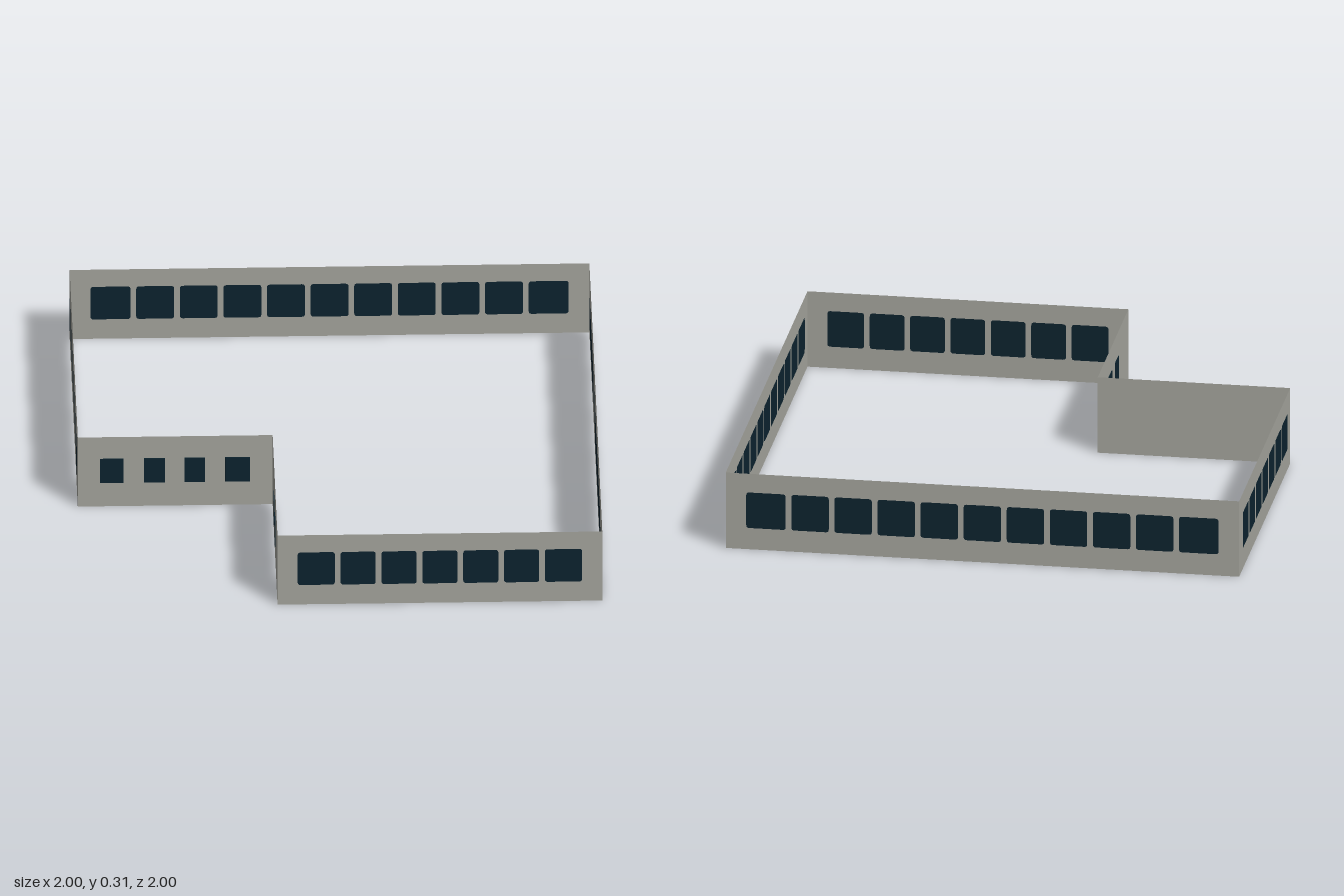
import * as THREE from 'three';

const HEIGHT = 0.31;

// Rounded rectangle centred on the origin
function roundedPane(w, h, r) {
  const s = new THREE.Shape();
  const x = w / 2, y = h / 2;
  s.moveTo(-x + r, -y);
  s.lineTo(x - r, -y);
  s.quadraticCurveTo(x, -y, x, -y + r);
  s.lineTo(x, y - r);
  s.quadraticCurveTo(x, y, x - r, y);
  s.lineTo(-x + r, y);
  s.quadraticCurveTo(-x, y, -x, y - r);
  s.lineTo(-x, -y + r);
  s.quadraticCurveTo(-x, -y, -x + r, -y);
  return new THREE.ShapeGeometry(s, 4);
}

export function createModel() {
  const concrete = new THREE.MeshStandardMaterial({ color: 0xa9a9a1, side: THREE.DoubleSide });
  concrete.name = 'concrete';
  const glass = new THREE.MeshStandardMaterial({ color: 0x0d2430, side: THREE.DoubleSide });
  glass.name = 'darkGlass';

  const model = new THREE.Group();
  model.name = 'storeyWalls';

  const add = (parent, geometry, material, name, x, y, z) => {
    const mesh = new THREE.Mesh(geometry, material);
    mesh.name = name;
    mesh.position.set(x, y, z);
    parent.add(mesh);
  };

  // Thin wall between two plan points; local +z points out of the building
  function makeWall(name, [x0, z0], [x1, z1]) {
    const wall = new THREE.Group();
    wall.name = name;
    wall.position.set((x0 + x1) / 2, 0, (z0 + z1) / 2);
    wall.rotation.y = Math.atan2(z0 - z1, x1 - x0);
    const length = Math.hypot(x1 - x0, z1 - z0);
    add(wall, new THREE.PlaneGeometry(length, HEIGHT), concrete, name + 'Panel', 0, HEIGHT / 2, 0);
    model.add(wall);
    return wall;
  }

  // Row of large windows seen from both sides, the end ones slightly wider
  function addWindowRow(wall, count, span) {
    const gap = 0.022, endExtra = 0.008;
    const width = (span - gap * (count - 1) - 2 * endExtra) / count;
    let x = -span / 2;
    for (let i = 0; i < count; i++) {
      const w = width + (i === 0 || i === count - 1 ? endExtra : 0);
      const pane = roundedPane(w, 0.146, 0.012);
      for (const z of [0.002, -0.002]) add(wall, pane, glass, 'window', x + w / 2, 0.161, z);
      x += w + gap;
    }
  }

  // Small square windows on the outside only
  function addSmallWindows(wall, list) {
    for (const [x, w] of list) {
      add(wall, new THREE.BoxGeometry(w, 0.108, 0.003), glass, 'smallWindow', x, 0.16, 0.0025);
    }
  }

  // L-shaped outline
  const front = makeWall('frontWall', [-0.25, 1], [1, 1]);
  const left = makeWall('leftWall', [1, 1], [1, -1]);
  const back = makeWall('backWall', [1, -1], [-1, -1]);
  const right = makeWall('rightWall', [-1, -1], [-1, 0.25]);
  const notchFront = makeWall('notchFrontWall', [-1, 0.25], [-0.25, 0.25]);
  const notchSide = makeWall('notchSideWall', [-0.25, 0.25], [-0.25, 1]);

  for (const wall of [front, right]) addWindowRow(wall, 7, 1.095);
  for (const wall of [left, back]) addWindowRow(wall, 11, 1.84);
  addSmallWindows(notchFront, [[-0.245, 0.09], [-0.08, 0.08], [0.075, 0.08], [0.24, 0.095]]);
  addSmallWindows(notchSide, [[-0.08, 0.08], [0.08, 0.08]]);

  return model;
}
